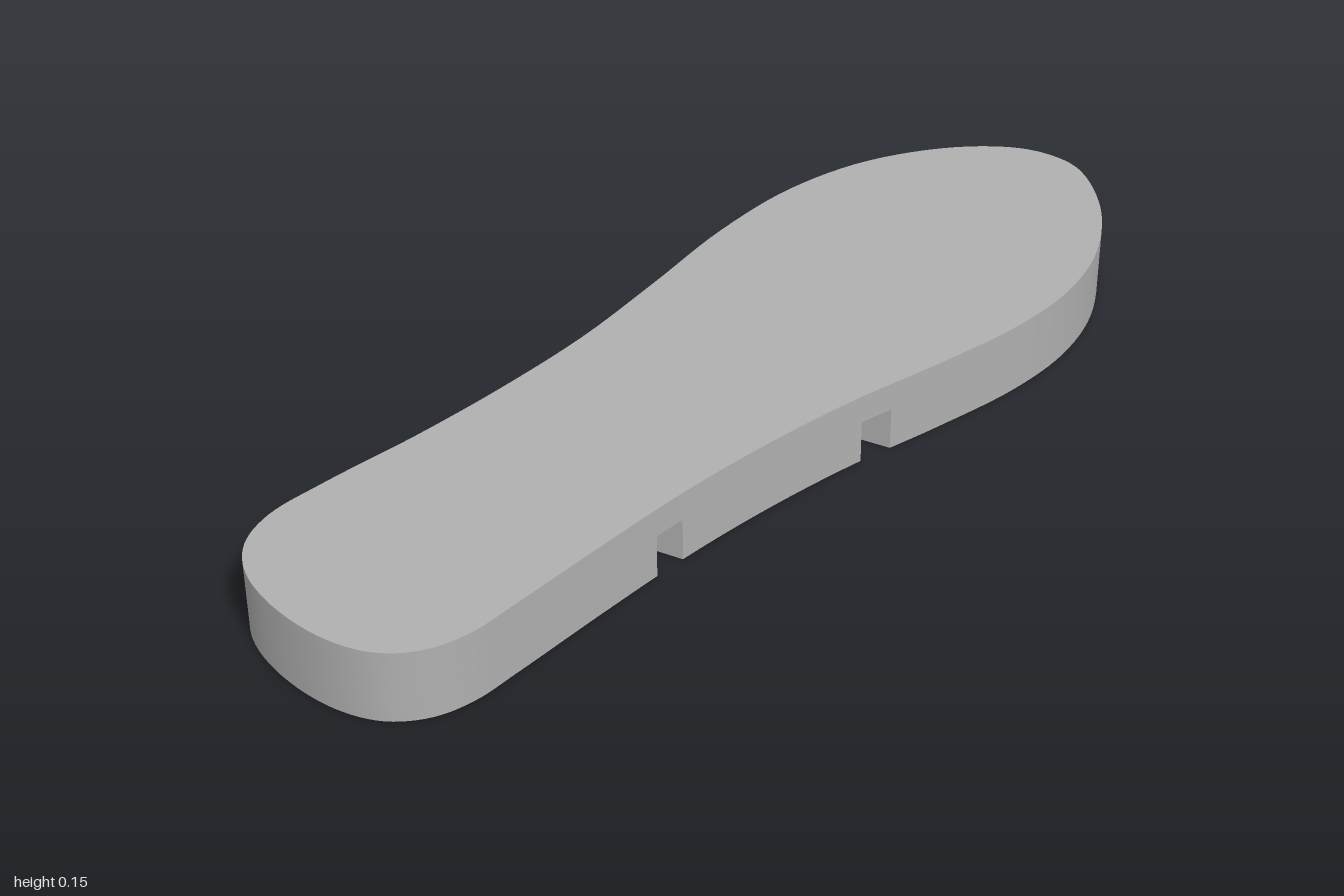
import * as THREE from 'three';
import { toCreasedNormals } from 'three/addons/utils/BufferGeometryUtils.js';

const HEIGHT = 0.15, GROOVE_DEPTH = 0.09, GROOVE_WIDTH = 0.065;
const NORMAL = new THREE.Vector2(0.76, -0.65); // across the grooves, towards the toe
const ALONG = new THREE.Vector2(0.65, 0.76);   // along the grooves

// Sole outline as [x, z]
const OUTLINE = [
  [-1, 0.28], [-0.98, 0.2], [-0.92, 0.135], [-0.8, 0.078], [-0.6, 0], [-0.4, -0.09],
  [-0.2, -0.195], [0, -0.325], [0.2, -0.46], [0.4, -0.56], [0.6, -0.604], [0.8, -0.585],
  [0.93, -0.525], [0.985, -0.455], [1, -0.39], [0.965, -0.24], [0.87, -0.085], [0.75, 0.02],
  [0.6, 0.095], [0.4, 0.155], [0.2, 0.205], [0, 0.27], [-0.2, 0.35], [-0.4, 0.445],
  [-0.6, 0.545], [-0.69, 0.587], [-0.77, 0.601], [-0.85, 0.58], [-0.92, 0.515], [-0.98, 0.395],
];

function outlinePoints() {
  const curve = new THREE.CatmullRomCurve3(OUTLINE.map(([x, z]) => new THREE.Vector3(x, 0, z)), true);
  return curve.getPoints(180).slice(0, -1).map((p) => new THREE.Vector2(p.x, p.z));
}

// Keep the part of a polygon where side * (NORMAL . p - c) >= 0
function clip(points, c, side) {
  const result = [];
  points.forEach((a, i) => {
    const b = points[(i + 1) % points.length];
    const da = side * (NORMAL.dot(a) - c), db = side * (NORMAL.dot(b) - c);
    if (da >= 0) result.push(a);
    if (da * db < 0) result.push(a.clone().lerp(b, da / (da - db)));
  });
  return result;
}

// Flat horizontal face at height y, facing up or down
function cap(points, y, up, hole) {
  const flip = (list) => list.map((p) => new THREE.Vector2(p.x, up ? -p.y : p.y));
  const shape = new THREE.Shape(flip(points));
  if (hole) shape.holes.push(new THREE.Path(flip(hole)));
  return new THREE.ShapeGeometry(shape).rotateX(up ? -Math.PI / 2 : Math.PI / 2).translate(0, y, 0);
}

// Vertical wall around a closed polygon
function wall(points, y0, y1) {
  const positions = [];
  points.forEach((a, i) => {
    const b = points[(i + 1) % points.length];
    positions.push(a.x, y0, a.y, a.x, y1, a.y, b.x, y1, b.y);
    positions.push(a.x, y0, a.y, b.x, y1, b.y, b.x, y0, b.y);
  });
  const geometry = new THREE.BufferGeometry();
  geometry.setAttribute('position', new THREE.Float32BufferAttribute(positions, 3));
  return toCreasedNormals(geometry, 0.5);
}

export function createModel() {
  const group = new THREE.Group();
  group.name = 'shoeSole';
  const material = new THREE.MeshStandardMaterial({ color: 0xb0b0b0 });
  material.name = 'soleGrey';
  const add = (name, geometry) => {
    const mesh = new THREE.Mesh(geometry, material);
    mesh.name = name;
    group.add(mesh);
  };

  const outline = outlinePoints();
  const archCut = 0.033, heelCut = -0.459; // heel-side edges of the two open grooves

  // Closed groove under the toe
  const start = new THREE.Vector2(0.69, 0.02);
  const end = start.clone().addScaledVector(ALONG, -0.6);
  const toeGroove = [start, end,
    end.clone().addScaledVector(NORMAL, GROOVE_WIDTH),
    start.clone().addScaledVector(NORMAL, GROOVE_WIDTH)];

  // Upper slab
  add('topSurface', cap(outline, HEIGHT, true));
  add('upperRim', wall(outline, GROOVE_DEPTH, HEIGHT));

  // Tread pads between the grooves
  const pads = {
    toePad: clip(outline, archCut + GROOVE_WIDTH, 1),
    archPad: clip(clip(outline, archCut, -1), heelCut + GROOVE_WIDTH, 1),
    heelPad: clip(outline, heelCut, -1),
  };
  for (const [name, points] of Object.entries(pads)) {
    add(name + 'Bottom', cap(points, 0, false, name === 'toePad' ? toeGroove : null));
    add(name + 'Side', wall(points, 0, GROOVE_DEPTH));
  }

  // Groove ceilings and the walls of the closed groove
  for (const [name, c] of [['archGroove', archCut], ['heelGroove', heelCut]]) {
    add(name, cap(clip(clip(outline, c, 1), c + GROOVE_WIDTH, -1), GROOVE_DEPTH, false));
  }
  add('toeGroove', cap(toeGroove, GROOVE_DEPTH, false));
  add('toeGrooveWalls', wall([...toeGroove].reverse(), 0, GROOVE_DEPTH));

  return group;
}
